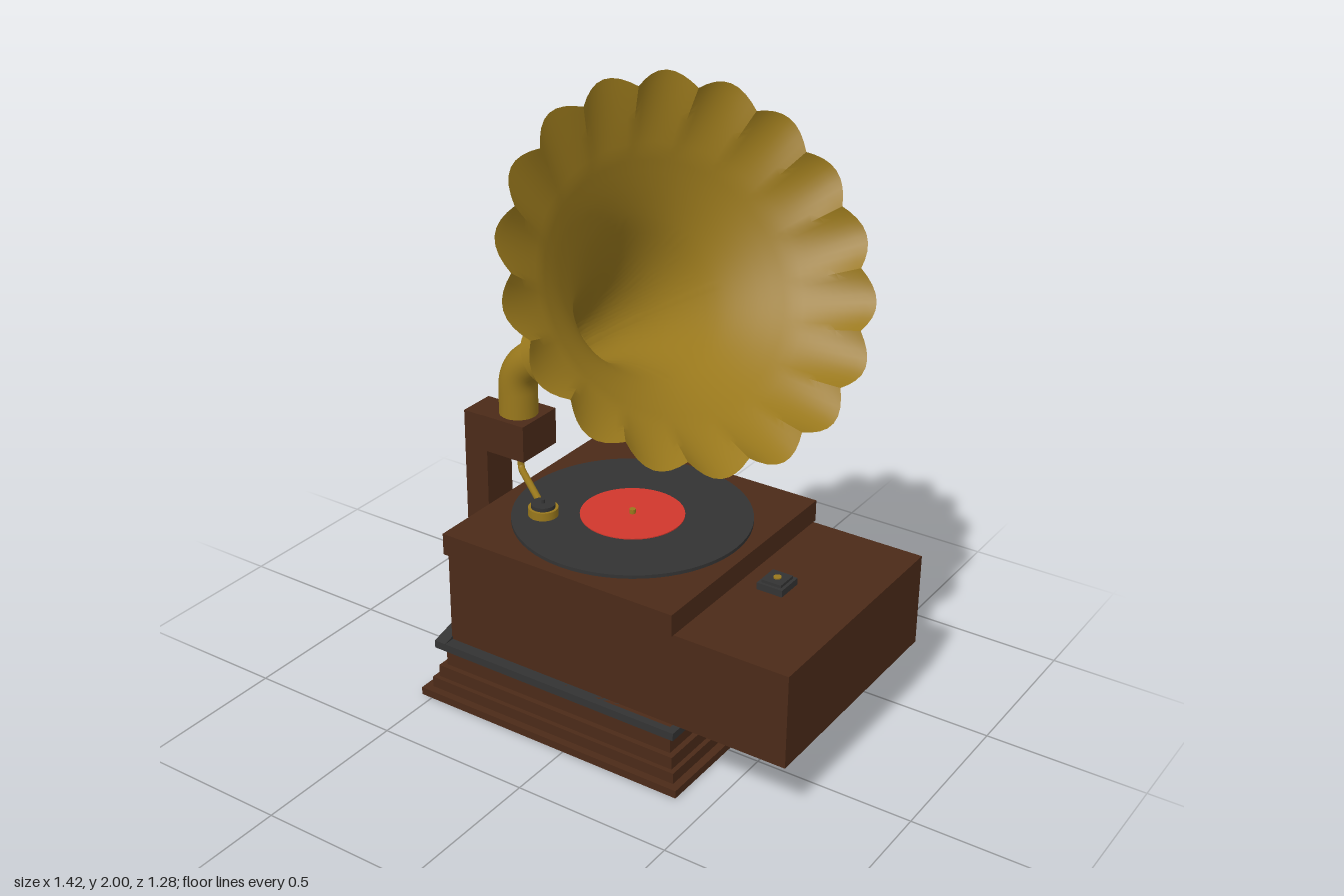
import * as THREE from 'three';
import { toCreasedNormals } from 'three/addons/utils/BufferGeometryUtils.js';

const wood = new THREE.MeshStandardMaterial({ color: 0x4b2a18 });
const brass = new THREE.MeshStandardMaterial({ color: 0x99781c });
const brassSheet = new THREE.MeshStandardMaterial({ color: 0x99781c, side: THREE.DoubleSide });
const dark = new THREE.MeshStandardMaterial({ color: 0x333333 });
const red = new THREE.MeshStandardMaterial({ color: 0xd0372c });

// Centre of the cabinet and of the arm
const CX = -0.07, CZ = -0.18, ARM_Z = -0.175;

export function createModel() {
  const model = new THREE.Group();
  model.name = 'gramophone';

  const add = (name, geometry, material) => {
    const mesh = new THREE.Mesh(geometry, material);
    mesh.name = name;
    model.add(mesh);
    return mesh;
  };
  // Box given by its limits on each axis
  const box = (name, material, x0, x1, y0, y1, z0, z1) => {
    add(name, new THREE.BoxGeometry(x1 - x0, y1 - y0, z1 - z0), material)
      .position.set((x0 + x1) / 2, (y0 + y1) / 2, (z0 + z1) / 2);
  };
  // Square slab around the cabinet centre
  const slab = (name, material, half, y0, y1) =>
    box(name, material, CX - half, CX + half, y0, y1, CZ - half, CZ + half);
  // Upright cylinder from y0 to y1
  const disc = (name, material, r, x, z, y0, y1, sides = 64) => {
    add(name, new THREE.CylinderGeometry(r, r, y1 - y0, sides), material)
      .position.set(x, (y0 + y1) / 2, z);
  };
  const shapeOf = (points) => new THREE.Shape(points.map(([a, b]) => new THREE.Vector2(a, b)));
  const v = (x, y, z) => new THREE.Vector3(x, y, z);

  // Stepped plinth
  [[0.468, 0, 0.025], [0.443, 0.025, 0.06], [0.428, 0.06, 0.1], [0.41, 0.1, 0.19]]
    .forEach(([half, y0, y1], i) => slab('plinthStep' + (i + 1), wood, half, y0, y1));

  // Cabinet with side extension, and lid
  box('cabinet', wood, -0.468, 0.71, 0.19, 0.49, -0.575, 0.217);
  slab('lid', wood, 0.408, 0.49, 0.56);

  // Dark moulding, rising on the bracket side to meet the shelf
  box('moulding', dark, -0.475, CX + 0.435, 0.165, 0.19, CZ - 0.435, CZ + 0.435);
  const risingShape = shapeOf([
    [-0.615, 0.165], [-0.59, 0.165], [-0.3, 0.247], [-0.06, 0.247], [0.23, 0.165], [0.255, 0.165],
    [0.255, 0.19], [-0.055, 0.272], [-0.307, 0.272], [-0.615, 0.19]]);
  const rising = new THREE.ExtrudeGeometry(risingShape, { depth: 0.04, bevelEnabled: false });
  add('risingMoulding', rising.rotateY(-Math.PI / 2), dark).position.x = -0.465;

  const shelfShape = shapeOf([
    [-0.47, -0.307], [-0.55, -0.307], [-0.71, -0.285], [-0.71, -0.068], [-0.55, -0.053], [-0.47, -0.053]]);
  const shelf = new THREE.ExtrudeGeometry(shelfShape, { depth: 0.009, bevelEnabled: false });
  add('bracketShelf', shelf.rotateX(Math.PI / 2), dark).position.y = 0.272;

  // Horn bracket
  box('bracketFoot', wood, -0.678, -0.46, 0.272, 0.385, -0.26, -0.095);
  box('bracketPost', wood, -0.66, -0.574, 0.385, 0.785, -0.238, -0.115);
  box('bracketHead', wood, -0.574, -0.415, 0.68, 0.8, -0.262, -0.093);

  // Turntable and record
  disc('record', dark, 0.368, CX, CZ, 0.56, 0.571);
  disc('recordLabel', red, 0.16, CX, CZ, 0.571, 0.574);
  disc('spindle', brass, 0.01, CX, CZ, 0.57, 0.588, 16);

  // Speed control on the side extension
  box('controlBase', dark, 0.4, 0.485, 0.49, 0.512, -0.22, -0.13);
  box('controlTop', dark, 0.41, 0.475, 0.512, 0.521, -0.21, -0.14);
  disc('controlKnob', brass, 0.012, 0.443, ARM_Z, 0.521, 0.525, 16);

  // Tone arm and sound box
  const arm = new THREE.CurvePath();
  arm.add(new THREE.LineCurve3(v(-0.488, 0.69, ARM_Z), v(-0.488, 0.625, ARM_Z)));
  arm.add(new THREE.QuadraticBezierCurve3(
    v(-0.488, 0.625, ARM_Z), v(-0.488, 0.606, ARM_Z), v(-0.47, 0.606, -0.16)));
  arm.add(new THREE.LineCurve3(v(-0.47, 0.606, -0.16), v(-0.28, 0.606, -0.008)));
  add('toneArm', new THREE.TubeGeometry(arm, 40, 0.011, 12), brass);
  disc('soundBox', brass, 0.046, -0.27, 0.003, 0.59, 0.616, 32);
  disc('soundBoxCap', dark, 0.037, -0.27, 0.003, 0.616, 0.628, 32);
  disc('needleScrew', dark, 0.005, -0.27, 0.003, 0.58, 0.64, 12);

  // Elbow pipe and collar
  const elbow = new THREE.CurvePath();
  elbow.add(new THREE.LineCurve3(v(-0.492, 0.78, ARM_Z), v(-0.492, 0.88, ARM_Z)));
  elbow.add(new THREE.CubicBezierCurve3(
    v(-0.492, 0.88, ARM_Z), v(-0.492, 0.975, ARM_Z), v(-0.43, 0.993, ARM_Z), v(-0.35, 1.04, ARM_Z)));
  add('elbowPipe', new THREE.TubeGeometry(elbow, 40, 0.061, 32), brass);
  const collar = add('collar', new THREE.CylinderGeometry(0.094, 0.094, 0.1, 40), brass);
  collar.position.set(-0.35, 1.04, ARM_Z);
  collar.quaternion.setFromUnitVectors(v(0, 1, 0), v(0.86, 0.51, 0).normalize());

  // Horn: smooth bell, then a flare with 18 scalloped petals
  const PETALS = 18, BELL = 0.7, RIM = 0.84;
  const bell = new THREE.SplineCurve([
    [0.07, -0.04], [0.073, 0.02], [0.09, 0.16], [0.135, 0.34], [0.205, 0.5], [0.275, 0.6], [0.37, BELL]]
    .map(([r, t]) => new THREE.Vector2(r, t))).getPoints(24);
  const flare = [];
  for (let i = 1; i <= 8; i++) {
    const u = i / 8;
    flare.push(new THREE.Vector2(0.37 + 0.18 * u, BELL + (RIM - BELL) * u));
  }
  const horn = new THREE.LatheGeometry([...bell, ...flare], PETALS * 8);
  const p = horn.attributes.position;
  for (let i = 0; i < p.count; i++) {
    const u = (p.getY(i) - BELL) / (RIM - BELL);
    if (u <= 0) continue;
    const angle = Math.atan2(p.getX(i), p.getZ(i));
    const dip = 1 - Math.abs(Math.sin(angle * PETALS / 2));
    const s = 1 - 0.075 * dip * u;
    p.setXYZ(i, p.getX(i) * s, p.getY(i), p.getZ(i) * s);
  }
  const axis = v(0.737, 0.57, 0.363).normalize();
  const up = v(0, 1, 0).addScaledVector(axis, -axis.y).normalize();
  const side = new THREE.Vector3().crossVectors(axis, up);
  const hornMesh = add('horn', toCreasedNormals(horn, 0.5), brassSheet);
  hornMesh.quaternion.setFromRotationMatrix(new THREE.Matrix4().makeBasis(side, axis, up));
  hornMesh.position.set(0.325, 1.55, 0.125).addScaledVector(axis, -RIM);

  return model;
}
